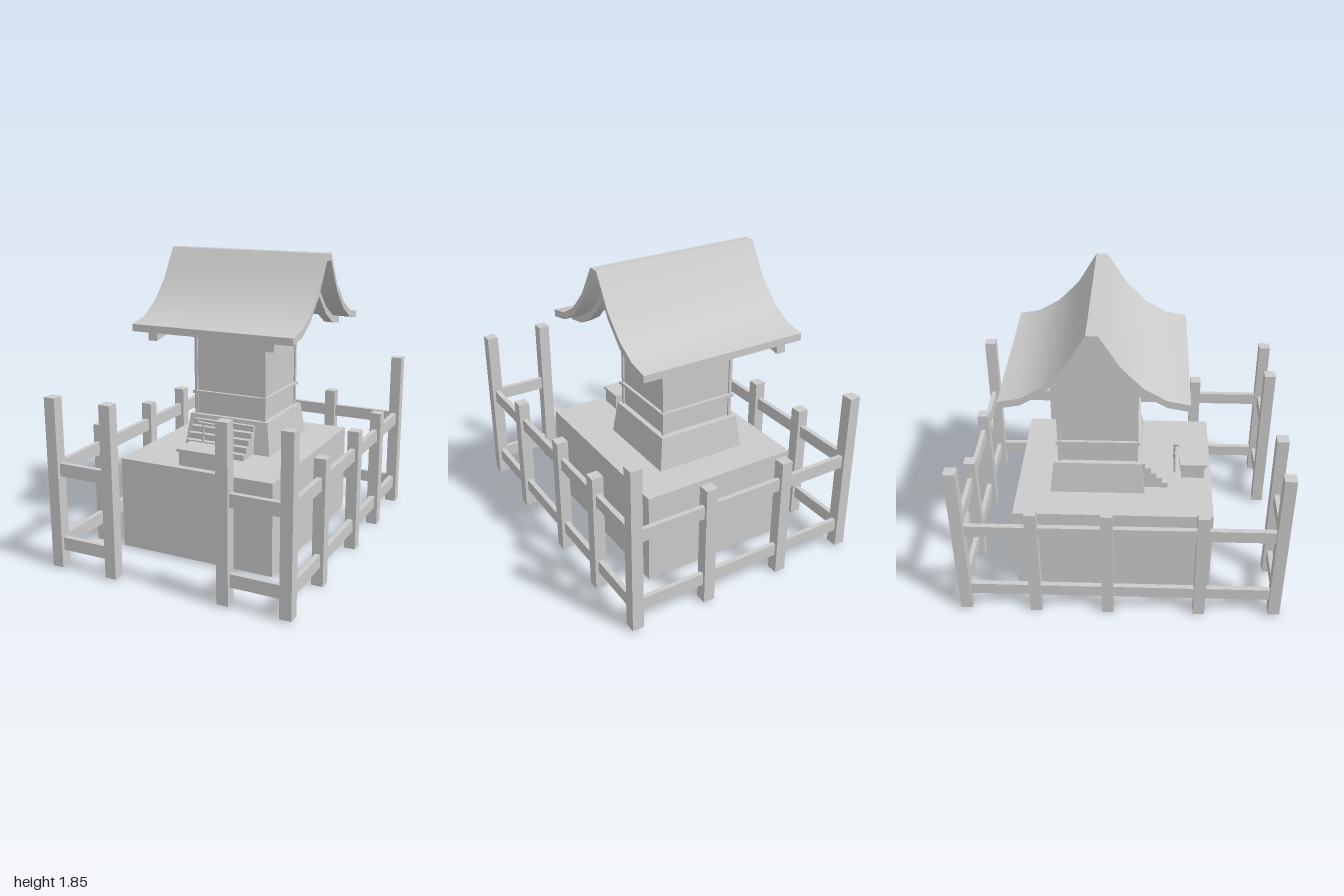
import * as THREE from 'three';
import { toCreasedNormals } from 'three/addons/utils/BufferGeometryUtils.js';

const material = new THREE.MeshStandardMaterial({ color: 0xcccccc });
const flatMaterial = new THREE.MeshStandardMaterial({ color: 0xcccccc, flatShading: true });

function add(parent, name, geometry, mat = material) {
  const mesh = new THREE.Mesh(geometry, mat);
  mesh.name = name;
  parent.add(mesh);
  return mesh;
}

function subgroup(parent, name) {
  const group = new THREE.Group();
  group.name = name;
  parent.add(group);
  return group;
}

// Box given by its limits on each axis
function box(parent, name, [x0, x1], [y0, y1], [z0, z1]) {
  const mesh = add(parent, name, new THREE.BoxGeometry(x1 - x0, y1 - y0, z1 - z0));
  mesh.position.set((x0 + x1) / 2, (y0 + y1) / 2, (z0 + z1) / 2);
  return mesh;
}

// Side profile of [z, y] points, extruded from x0 to x1
function extrudeX(points, x0, x1) {
  const shape = new THREE.Shape(points.map(([z, y]) => new THREE.Vector2(z, y)));
  const geometry = new THREE.ExtrudeGeometry(shape, { depth: x1 - x0, bevelEnabled: false });
  geometry.rotateY(-Math.PI / 2).translate(x1, 0, 0);
  return toCreasedNormals(geometry, 0.5);
}

// Upper line of the swept roof, front to back, as [z, y]
const ROOF = [
  [0.395, 1.42], [0.265, 1.445], [0.134, 1.52], [0.003, 1.655], [-0.118, 1.85],
  [-0.187, 1.85], [-0.308, 1.65], [-0.437, 1.52], [-0.567, 1.445], [-0.695, 1.42],
];

const lowered = (drop) => ROOF.map(([z, y]) => [z, y - drop]);

// Closed band between two parallel roof lines
const roofBand = (top, bottom) => [...lowered(top), ...lowered(bottom).reverse()];

function roofHeight(z) {
  const i = ROOF.findIndex((p, k) => k > 0 && p[0] <= z);
  const [z0, y0] = ROOF[i - 1], [z1, y1] = ROOF[i];
  return y0 + (y1 - y0) * (z - z0) / (z1 - z0);
}

// Wall profile from floor up to just inside the roof shell
function wallProfile(front, back) {
  const inner = ROOF.filter(([z]) => z < front && z > back);
  const top = [[front, roofHeight(front)], ...inner, [back, roofHeight(back)]];
  return [[back, 0.8], [front, 0.8], ...top.map(([z, y]) => [z, y - 0.04])];
}

function buildFence(root) {
  const fence = subgroup(root, 'fence');
  const h = 0.036;
  const post = (name, x, z, y0, y1) =>
    box(fence, name, [x - h, x + h], [y0, y1], [z - h, z + h]);

  for (const s of [-1, 1]) {
    post('frontCornerPost', s * 0.748, 0.964, 0.012, 1.07);
    post('backCornerPost', s * 0.748, -0.964, 0.012, 1.07);
    post('gatePost', s * 0.369, 0.964, 0.012, 1.07);
    for (const z of [0.495, -0.075, -0.525]) post('sidePost', s * 0.748, z, 0, 0.78);
    post('backPost', s * 0.265, -0.964, 0, 0.78);
  }

  for (const y of [[0.12, 0.2], [0.59, 0.67]]) {
    for (const s of [-1, 1]) {
      const x = s * 0.748, gate = s * 0.555;
      box(fence, 'sideRail', [x - 0.016, x + 0.016], y, [-0.93, 0.93]);
      box(fence, 'frontRail', [gate - 0.16, gate + 0.16], y, [0.947, 0.979]);
    }
    box(fence, 'backRail', [-0.715, 0.715], y, [-0.982, -0.953]);
  }
}

function buildShrine(root) {
  const shrine = subgroup(root, 'shrine');

  // Tapered plinth
  const plinth = add(shrine, 'plinth',
    new THREE.CylinderGeometry(0.273 * Math.SQRT2, 0.3 * Math.SQRT2, 0.215, 4, 1)
      .rotateY(Math.PI / 4), flatMaterial);
  plinth.position.set(-0.035, 0.7025, -0.155);

  // Walls set back between corner posts, with a tie band around them
  add(shrine, 'walls', extrudeX(wallProfile(0.09, -0.39), -0.275, 0.205));
  for (const x of [-0.285, 0.195]) {
    for (const z of [0.08, -0.4]) {
      const top = Math.min(roofHeight(z), roofHeight(z + 0.02)) - 0.03;
      box(shrine, 'cornerPost', [x, x + 0.02], [0.8, top], [z, z + 0.02]);
    }
  }
  box(shrine, 'tieBand', [-0.295, 0.225], [0.943, 0.963], [-0.41, 0.11]);

  // Roof shell and two rafters beneath it
  add(shrine, 'roof', extrudeX(roofBand(0, 0.045), -0.556, 0.52));
  for (const x of [-0.41, 0.372]) {
    add(shrine, 'rafter', extrudeX(roofBand(0.045, 0.093), x - 0.03, x + 0.03));
  }

  // Front steps, one stepped profile
  const rise = 0.037, run = 0.036, steps = [[0.08, 0.598], [0.289, 0.598]];
  for (let i = 0; i < 5; i++) {
    const z = 0.289 - i * run, y = 0.6 + (i + 1) * rise;
    steps.push([z, y], [i < 4 ? z - run : 0.08, y]);
  }
  add(shrine, 'steps', extrudeX(steps, -0.27, 0.155));
}

function buildOfferings(root) {
  const offerings = subgroup(root, 'offeringPlace');

  // Offering table
  box(offerings, 'tableBody', [-0.165, 0.11], [0.598, 0.692], [0.378, 0.525]);
  box(offerings, 'tableTop', [-0.175, 0.117], [0.69, 0.708], [0.364, 0.54]);

  // Small gateway behind the table
  const gate = subgroup(offerings, 'smallGateway');
  gate.position.set(-0.037, 0, 0.337);
  for (const s of [-1, 1]) {
    const leg = add(gate, 'gatewayLeg', new THREE.CylinderGeometry(0.007, 0.008, 0.225, 8));
    leg.position.set(s * 0.063, 0.712, 0);
    leg.rotation.z = s * 0.06;
  }

  // Beam with ends swept upward
  const beam = (name, half, y, thick, lift, depth) => {
    const shape = new THREE.Shape();
    shape.moveTo(-half, y + lift);
    shape.quadraticCurveTo(0, y - lift, half, y + lift);
    shape.lineTo(half - 0.012, y + lift - thick);
    shape.quadraticCurveTo(0, y - lift - thick, -half + 0.012, y + lift - thick);
    const geometry = new THREE.ExtrudeGeometry(shape, { depth, bevelEnabled: false, curveSegments: 8 });
    add(gate, name, toCreasedNormals(geometry.translate(0, 0, -depth / 2), 0.5));
  };
  beam('gatewayLintel', 0.097, 0.829, 0.014, 0.007, 0.02);
  beam('gatewayTieBeam', 0.095, 0.756, 0.014, 0.004, 0.012);
}

export function createModel() {
  const model = new THREE.Group();
  model.name = 'fencedShrine';

  // Stone platform
  box(model, 'platform', [-0.553, 0.478], [0.015, 0.6], [-0.668, 0.57]);
  buildShrine(model);
  buildOfferings(model);
  buildFence(model);
  return model;
}
